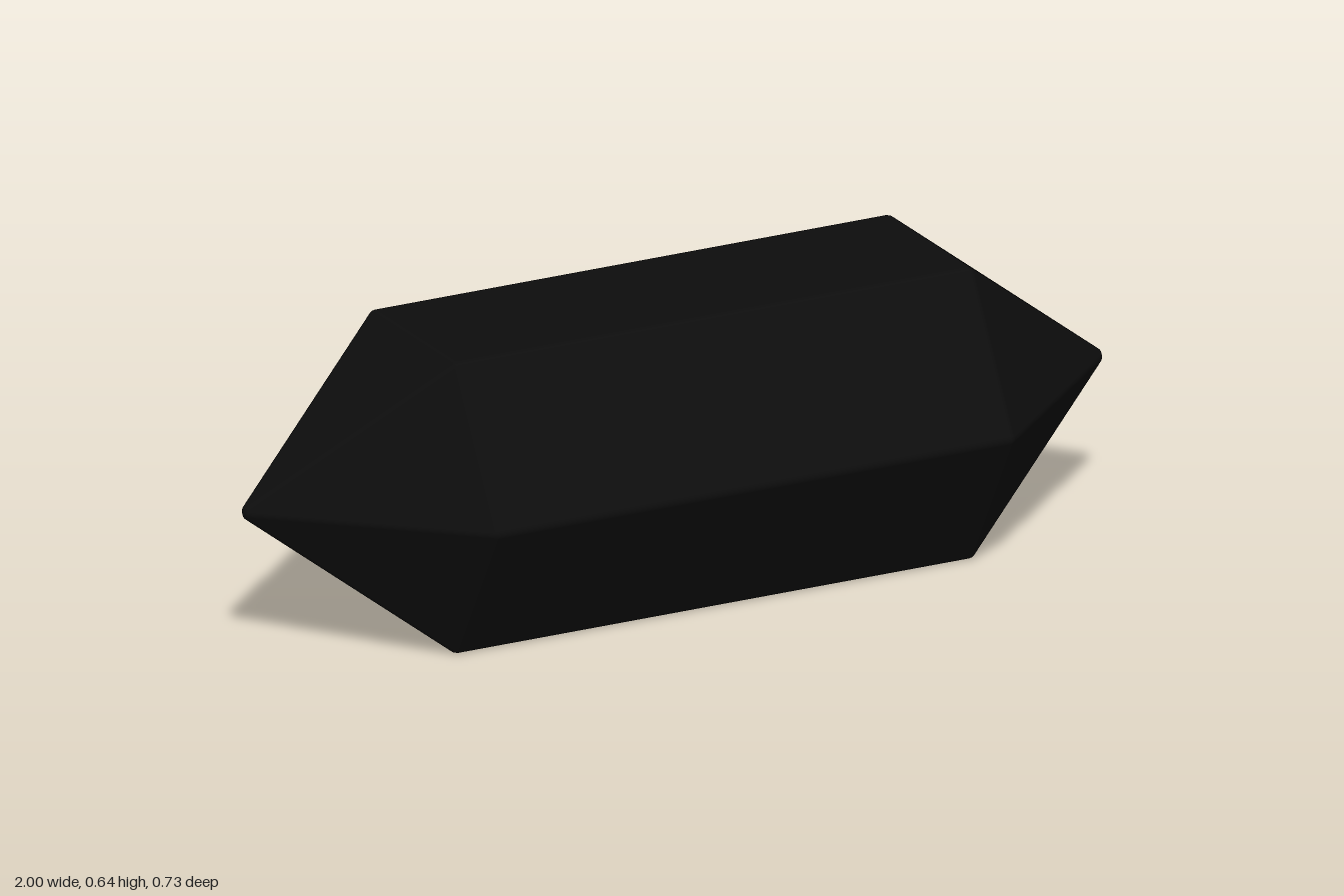
import * as THREE from 'three';
import { ConvexGeometry } from 'three/addons/geometries/ConvexGeometry.js';

const R = 0.018;          // edge rounding radius
const APOTHEM = 0.3005;   // hexagon centre to flat side, before rounding
const SHOULDER = 0.594;   // where the points begin
const TIP = 0.982;        // centre of the rounded tip

const radial = (angle, x = 0, r = 1) =>
  new THREE.Vector3(x, Math.cos(angle) * r, Math.sin(angle) * r);

// Normals of a corner's faces, plus blends across its edges
function cornerNormals(faces) {
  const normals = [...faces];
  const sum = new THREE.Vector3();
  faces.forEach((a, i) => {
    sum.add(a);
    const b = faces[(i + 1) % faces.length];
    for (const t of [0.25, 0.5, 0.75]) normals.push(a.clone().lerp(b, t).normalize());
  });
  normals.push(sum.normalize());
  return normals;
}

// Six-sided prism with a pyramid at each end and rounded edges
function crystalGeometry() {
  const centres = [], points = [];
  const addCorner = (centre, faces) => {
    centres.push(centre);
    for (const n of cornerNormals(faces)) points.push(centre.clone().addScaledVector(n, R));
  };
  const step = Math.PI / 3;
  const side = (i) => radial(i * step);
  for (const s of [-1, 1]) {
    const slope = (i) => radial(i * step, s * APOTHEM, TIP - SHOULDER).normalize();
    for (let i = 0; i < 6; i++) {
      const centre = radial((i + 0.5) * step, s * SHOULDER, APOTHEM / Math.cos(step / 2));
      addCorner(centre, [side(i), side(i + 1), slope(i + 1), slope(i)]);
    }
    addCorner(new THREE.Vector3(s * TIP, 0, 0), [0, 1, 2, 3, 4, 5].map(slope));
  }

  // Each normal points away from its corner's centre: flat faces, smooth edges
  const geometry = new ConvexGeometry(points);
  const { position, normal } = geometry.attributes;
  const p = new THREE.Vector3();
  for (let i = 0; i < position.count; i++) {
    p.fromBufferAttribute(position, i);
    const centre = centres.reduce((a, b) =>
      p.distanceToSquared(a) < p.distanceToSquared(b) ? a : b);
    p.sub(centre).normalize();
    normal.setXYZ(i, p.x, p.y, p.z);
  }
  return geometry;
}

export function createModel() {
  const group = new THREE.Group();
  group.name = 'crystal';
  const black = new THREE.MeshStandardMaterial({ color: 0x0d0d0d });
  black.name = 'black';
  const body = new THREE.Mesh(crystalGeometry(), black);
  body.name = 'crystalBody';
  body.position.y = APOTHEM + R;
  group.add(body);
  return group;
}
